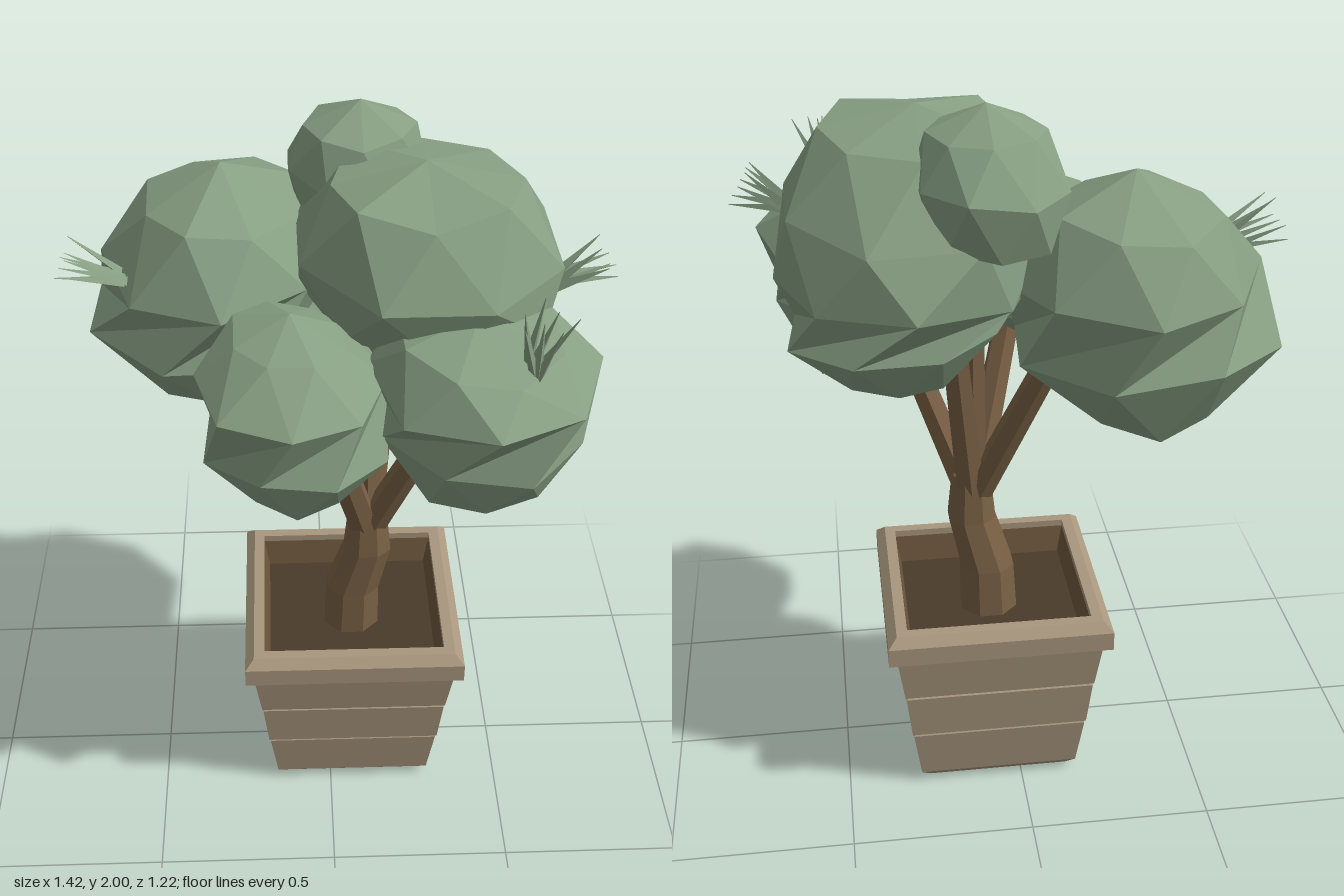
import * as THREE from 'three';

const mat = (name, color) => {
  const m = new THREE.MeshStandardMaterial({ color });
  m.name = name;
  return m;
};

// Separate the faces so every facet gets its own normal
const facet = (geo) => {
  const g = geo.index ? geo.toNonIndexed() : geo;
  g.computeVertexNormals();
  return g;
};

const seeded = (seed) => () => {
  seed = (seed * 16807) % 2147483647;
  return seed / 2147483647;
};

// Closed body through elliptical rings [y, cx, cz, rx, rz]; phases turn each ring, in steps
function loft(rings, bottomY, topY, sides, phases, jitter, seed) {
  const rnd = seeded(seed);
  const pos = [], idx = [];
  rings.forEach(([y, cx, cz, rx, rz], r) => {
    for (let i = 0; i < sides; i++) {
      const a = ((i + phases[r]) / sides) * Math.PI * 2;
      const k = 1 + (rnd() - 0.25) * jitter;
      pos.push(cx + Math.cos(a) * rx * k, y + (rnd() - 0.5) * jitter * 0.4, cz + Math.sin(a) * rz * k);
    }
  });
  const first = rings[0], last = rings[rings.length - 1];
  const bottom = rings.length * sides, top = bottom + 1, upper = bottom - sides;
  pos.push(first[1], bottomY, first[2], last[1], topY, last[2]);
  for (let i = 0; i < sides; i++) {
    const j = (i + 1) % sides;
    for (let r = 0; r < rings.length - 1; r++) {
      const lo = r * sides, up = lo + sides;
      idx.push(lo + i, up + i, lo + j, lo + j, up + i, up + j);
    }
    idx.push(i, j, bottom, upper + i, top, upper + j);
  }
  const g = new THREE.BufferGeometry();
  g.setAttribute('position', new THREE.Float32BufferAttribute(pos, 3));
  g.setIndex(idx);
  return facet(g);
}

// Tapered rod between two points
function rod(a, b, r0, r1, sides) {
  const d = b.clone().sub(a);
  const g = new THREE.CylinderGeometry(r1, r0, d.length(), sides);
  g.applyQuaternion(new THREE.Quaternion().setFromUnitVectors(new THREE.Vector3(0, 1, 0), d.clone().normalize()));
  g.translate(...a.clone().add(b).multiplyScalar(0.5).toArray());
  return facet(g);
}

// Square shell from a profile of [half width, y]
function squareShell(profile) {
  const pts = profile.map(([w, y]) => new THREE.Vector2(w * Math.SQRT2, y));
  return facet(new THREE.LatheGeometry(pts, 4, Math.PI / 4));
}

export function createModel() {
  const root = new THREE.Group();
  root.name = 'pottedTree';
  const clay = mat('clay', 0xa9977e);
  const lining = mat('lining brown', 0x6e573d);
  const soilBrown = mat('soil brown', 0x4a3b2b);
  const bark = mat('bark', 0x7a6145);
  const leaf = mat('leaf green', 0x879f83);
  const add = (parent, name, geo, m) => {
    const mesh = new THREE.Mesh(geo, m);
    mesh.name = name;
    parent.add(mesh);
  };

  // Pot: three tapering tiers, each overhanging the one below, and a bevelled rim
  const pot = new THREE.Group();
  pot.name = 'pot';
  pot.position.set(0.066, 0, -0.04);
  root.add(pot);
  add(pot, 'potShell', squareShell([
    [0, 0], [0.2, 0], [0.226, 0.03],
    [0.246, 0.18], [0.242, 0.185], [0.25, 0.189],
    [0.264, 0.326], [0.259, 0.331], [0.267, 0.335],
    [0.287, 0.48], [0.31, 0.48], [0.31, 0.535], [0.285, 0.56], [0.255, 0.56], [0.255, 0.54],
  ]), clay);
  add(pot, 'potLining', squareShell([[0.255, 0.54], [0.24, 0.46]]), lining);
  add(pot, 'soil', squareShell([[0.24, 0.46], [0, 0.46]]), soilBrown);

  // Crooked trunk
  add(root, 'trunk', loft([
    [0.45, 0.068, -0.04, 0.085, 0.085],
    [0.6, 0.072, -0.035, 0.08, 0.08],
    [0.75, 0.112, -0.022, 0.071, 0.068],
    [0.89, 0.112, -0.025, 0.056, 0.053],
  ], 0.45, 0.93, 8, [0.5, 0.5, 0.5, 0.5], 0, 1), bark);

  // Branches fanning up into the crown
  const branches = new THREE.Group();
  branches.name = 'branches';
  root.add(branches);
  [
    [-0.1, 1.32, -0.17], [-0.02, 1.32, 0.15], [0.11, 1.42, -0.07],
    [0.17, 1.4, -0.15], [0.3, 1.3, 0.11],
  ].forEach(([x, y, z]) => {
    const start = new THREE.Vector3(0.11 + (x - 0.11) * 0.08, 0.84, -0.025 + (z + 0.025) * 0.08);
    add(branches, 'branch', rod(start, new THREE.Vector3(x, y, z), 0.043, 0.036, 6), bark);
  });

  // Foliage clumps; a ring turned back gives a saw-toothed band under the widest part
  const crown = new THREE.Group();
  crown.name = 'crown';
  root.add(crown);
  const sawtooth = [0, 0.5, 0, 0.5, 1], even = [0, 0.5, 1];
  const clumps = [
    ['backLeftClump', 1.2, 1.83, sawtooth, [
      [1.24, -0.3, -0.28, 0.19, 0.24], [1.4, -0.3, -0.27, 0.34, 0.34],
      [1.57, -0.27, -0.265, 0.31, 0.335], [1.73, -0.27, -0.27, 0.21, 0.25]]],
    ['frontLeftClump', 1.17, 1.67, sawtooth, [
      [1.23, -0.09, 0.28, 0.14, 0.16], [1.35, -0.09, 0.26, 0.23, 0.26],
      [1.51, -0.1, 0.25, 0.23, 0.28], [1.61, -0.1, 0.22, 0.14, 0.17]]],
    ['frontRightClump', 1.17, 1.68, sawtooth, [
      [1.22, 0.37, 0.2, 0.18, 0.25], [1.37, 0.36, 0.21, 0.27, 0.32],
      [1.53, 0.37, 0.235, 0.285, 0.345], [1.63, 0.35, 0.25, 0.2, 0.26]]],
    ['mainClump', 1.24, 1.94, sawtooth, [
      [1.3, 0.32, -0.18, 0.16, 0.19], [1.42, 0.32, -0.17, 0.27, 0.3],
      [1.55, 0.28, -0.12, 0.33, 0.39], [1.71, 0.25, -0.06, 0.34, 0.395],
      [1.89, 0.24, -0.03, 0.24, 0.26]]],
    ['topClump', 1.62, 2.0, even, [
      [1.7, 0.08, -0.29, 0.16, 0.18], [1.82, 0.08, -0.29, 0.19, 0.21],
      [1.94, 0.09, -0.26, 0.14, 0.15]]],
  ];
  clumps.forEach(([name, y0, y1, phases, rings], i) =>
    add(crown, name, loft(rings, y0, y1, 8, phases, 0.1, i * 7 + 3), leaf));

  // Spiky leaf tufts: base, main direction, spread
  const tufts = [
    [[-0.53, 1.58, -0.12], [-0.15, 0.06, 0.01], 0.08],
    [[0.46, 1.64, 0.41], [0.01, 0.14, 0.03], 0.08],
    [[0.58, 1.67, 0.07], [0.1, 0.06, 0.01], 0.08],
  ];
  tufts.forEach(([base, dir, spread], t) => {
    const tuft = new THREE.Group();
    tuft.name = 'leafTuft';
    root.add(tuft);
    const b = new THREE.Vector3(...base), d = new THREE.Vector3(...dir);
    const u = new THREE.Vector3(0.3, 0.2, 1).cross(d).normalize();
    const v = d.clone().cross(u).normalize();
    for (let i = 0; i < 7; i++) {
      const a = i * 2.4 + t, s = spread * Math.sqrt((i + 0.5) / 7);
      const tip = b.clone().add(d).addScaledVector(u, Math.cos(a) * s).addScaledVector(v, Math.sin(a) * s);
      const foot = b.clone().addScaledVector(d, -0.2).addScaledVector(v, Math.sin(a) * 0.03);
      add(tuft, 'leafBlade', rod(foot, tip, 0.016, 0.001, 3), leaf);
    }
  });
  return root;
}
